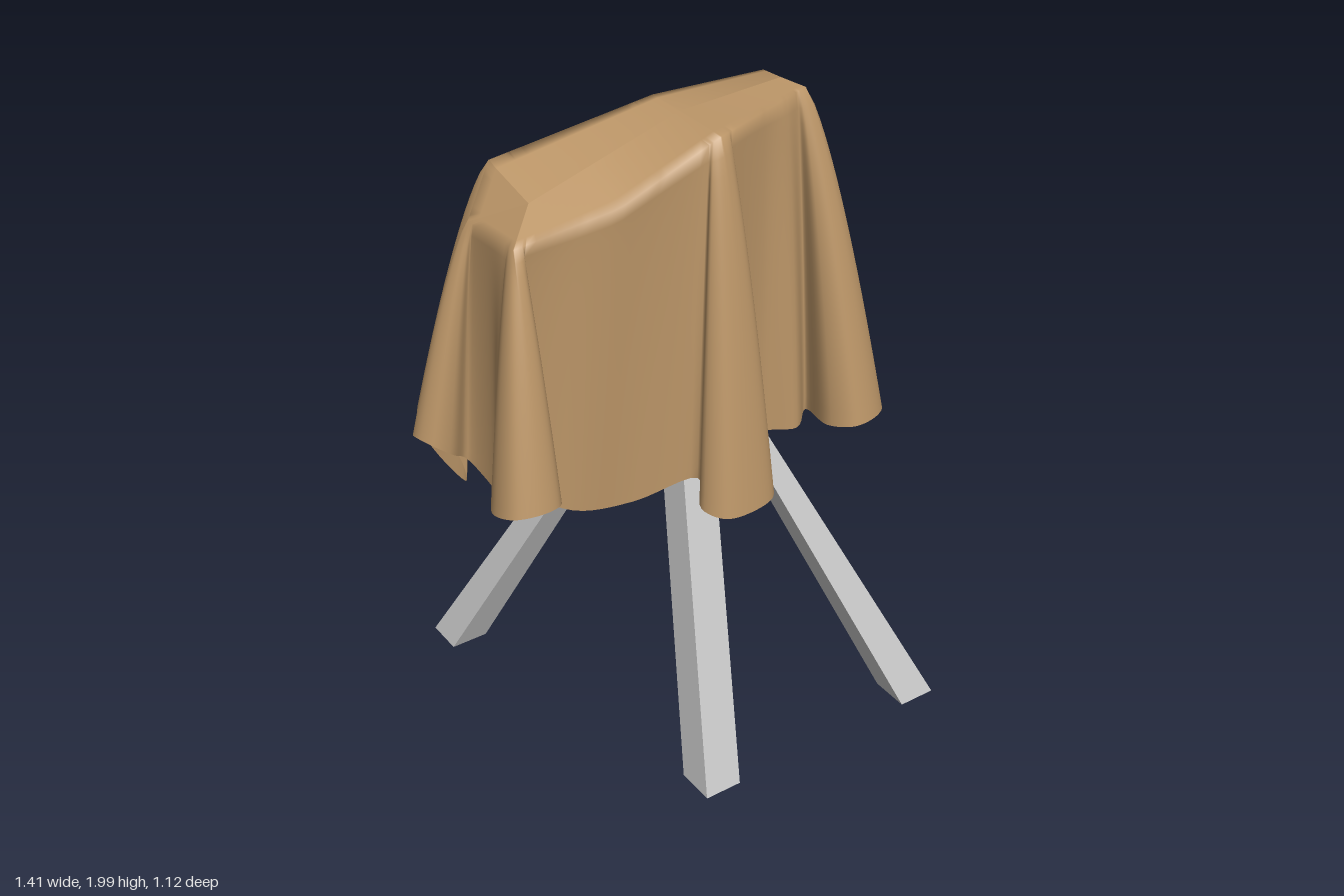
import * as THREE from 'three';

// Corners of the draped top (x, y, z), in order: front left, front, right, back, left
const rim = [
  [-0.55, 1.79, 0.27], [-0.28, 1.85, 0.33], [0, 1.98, 0.36], [0.34, 1.99, 0.26],
  [0.45, 1.85, 0.13], [0.37, 1.95, 0.04], [0, 1.98, 0.06], [-0.45, 1.89, -0.01], [-0.54, 1.76, 0.03],
].map(p => new THREE.Vector3(...p));

// Hanging folds: rim position, neck x y z, tip x y z, half width
const folds = [
  [0, -0.575, 1.05, 0.22, -0.595, 1.12, 0.44, 0.088],
  [2, -0.01, 0.98, 0.36, 0.005, 0.95, 0.54, 0.115],
  [3, 0.41, 1, 0.27, 0.47, 1.04, 0.47, 0.09],
  [3.5, 0.46, 1.05, 0.17, 0.51, 1.08, 0.28, 0.055],
  [4, 0.52, 1.08, 0.07, 0.655, 1.13, 0.05, 0.045],
  [5, 0.45, 0.91, 0.02, 0.48, 1.01, -0.15, 0.075],
  [6, -0.05, 0.82, -0.03, -0.06, 0.81, -0.16, 0.14],
  [7, -0.51, 0.92, -0.05, -0.52, 1.09, -0.265, 0.08],
  [8, -0.56, 1.02, -0.03, -0.705, 1.15, 0.005, 0.055],
];

// Hem of the flatter panels between folds: rim position, x y z
const panels = [
  [0.7, -0.4, 0.96, 0.28], [1.4, -0.22, 0.93, 0.3], [2.5, 0.21, 0.99, 0.29], [2.75, 0.31, 0.99, 0.33],
  [5.2, 0.35, 0.86, 0.03], [5.6, 0.2, 0.83, 0.04], [6.4, -0.27, 0.83, -0.02], [6.8, -0.43, 0.88, 0],
  [8.5, -0.54, 0.98, 0.11],
];

// Narrow neck and rounded head of one fold: distance towards the tip, sideways share of the width
const foldOutline = [[0, -0.4], [0.55, -1], [0.9, -0.75], [1, 0], [0.9, 0.75], [0.55, 1], [0, 0.4]];

function hemPoints() {
  const hem = panels.map(([t, ...p]) => ({ t, p: new THREE.Vector3(...p) }));
  for (const [t, nx, ny, nz, tx, ty, tz, width] of folds) {
    const neck = new THREE.Vector3(nx, ny, nz), tip = new THREE.Vector3(tx, ty, tz);
    const side = new THREE.Vector3(tz - nz, 0, nx - tx).normalize();
    foldOutline.forEach(([along, across], i) => hem.push({
      t: t + (i - 3) * 0.04,
      p: neck.clone().lerp(tip, along).addScaledVector(side, across * width),
    }));
  }
  return hem.sort((a, b) => a.t - b.t);
}

function rimAt(t) {
  const n = rim.length, k = Math.floor(t);
  return rim[(k + n) % n].clone().lerp(rim[(k + 1 + n) % n], t - k);
}

function clothGeometry() {
  const hem = hemPoints();
  const ts = [...hem.map(h => h.t), hem[0].t + rim.length];
  const curve = new THREE.CatmullRomCurve3(hem.map(h => h.p), true);
  const per = 6, cols = hem.length * per, capRows = 5, sideRows = 22, rows = capRows + sideRows;
  const pos = [], index = [];
  const columns = Array.from({ length: cols }, (_, i) => {
    const k = Math.floor(i / per);
    const top = rimAt(THREE.MathUtils.lerp(ts[k], ts[k + 1], (i % per) / per));
    const x = THREE.MathUtils.clamp(top.x, -0.45, 0.32);
    const spine = new THREE.Vector3(x, 1.98 + (x < 0 ? 0.29 : 0.04) * x, 0.18);
    return { spine, top, low: curve.getPoint(i / cols) };
  });
  for (let j = 0; j <= rows; j++) {
    for (const { spine, top, low } of columns) {
      if (j <= capRows) {
        pos.push(...spine.clone().lerp(top, j / capRows).toArray());
      } else {
        // The cloth swings outward first, then hangs
        const s = (j - capRows) / sideRows, e = Math.pow(s, 0.76);
        pos.push(top.x + (low.x - top.x) * e, top.y + (low.y - top.y) * s, top.z + (low.z - top.z) * e);
      }
    }
  }
  for (let j = 0; j < rows; j++) {
    for (let i = 0; i < cols; i++) {
      const n = (i + 1) % cols, a = j * cols + i, b = j * cols + n, c = a + cols, d = b + cols;
      index.push(a, c, b, b, c, d);
    }
  }
  const g = new THREE.BufferGeometry();
  g.setAttribute('position', new THREE.Float32BufferAttribute(pos, 3));
  g.setIndex(index);
  g.computeVertexNormals();
  return g;
}

// Slanted, tapering square leg with a level foot
function legGeometry([fx, fz], [wx, wz]) {
  const top = new THREE.Vector3(0.03, 1.35, 0.14), foot = 0.117;
  const g = new THREE.BoxGeometry(1, 1, 1), p = g.attributes.position;
  for (let i = 0; i < p.count; i++) {
    const up = p.getY(i) > 0;
    p.setXYZ(i,
      up ? top.x + p.getX(i) * wx : fx + p.getX(i) * foot,
      up ? top.y : 0,
      up ? top.z + p.getZ(i) * wz : fz + p.getZ(i) * foot);
  }
  g.computeVertexNormals();
  return g;
}

export function createModel() {
  const group = new THREE.Group();
  const cloth = new THREE.Mesh(clothGeometry(),
    new THREE.MeshStandardMaterial({ color: 0xbc9668, side: THREE.DoubleSide }));
  cloth.name = 'drapedCloth';
  group.add(cloth);

  const grey = new THREE.MeshStandardMaterial({ color: 0xcccccc });
  const legs = [
    ['backLeg', [-0.35, -0.5], [0.06, 0.05]],
    ['frontRightLeg', [-0.083, 0.5], [0.1, 0.1]],
    ['frontLeftLeg', [0.645, 0.5], [0.05, 0.09]],
  ];
  for (const [name, foot, width] of legs) {
    const leg = new THREE.Mesh(legGeometry(foot, width), grey);
    leg.name = name;
    group.add(leg);
  }
  return group;
}
